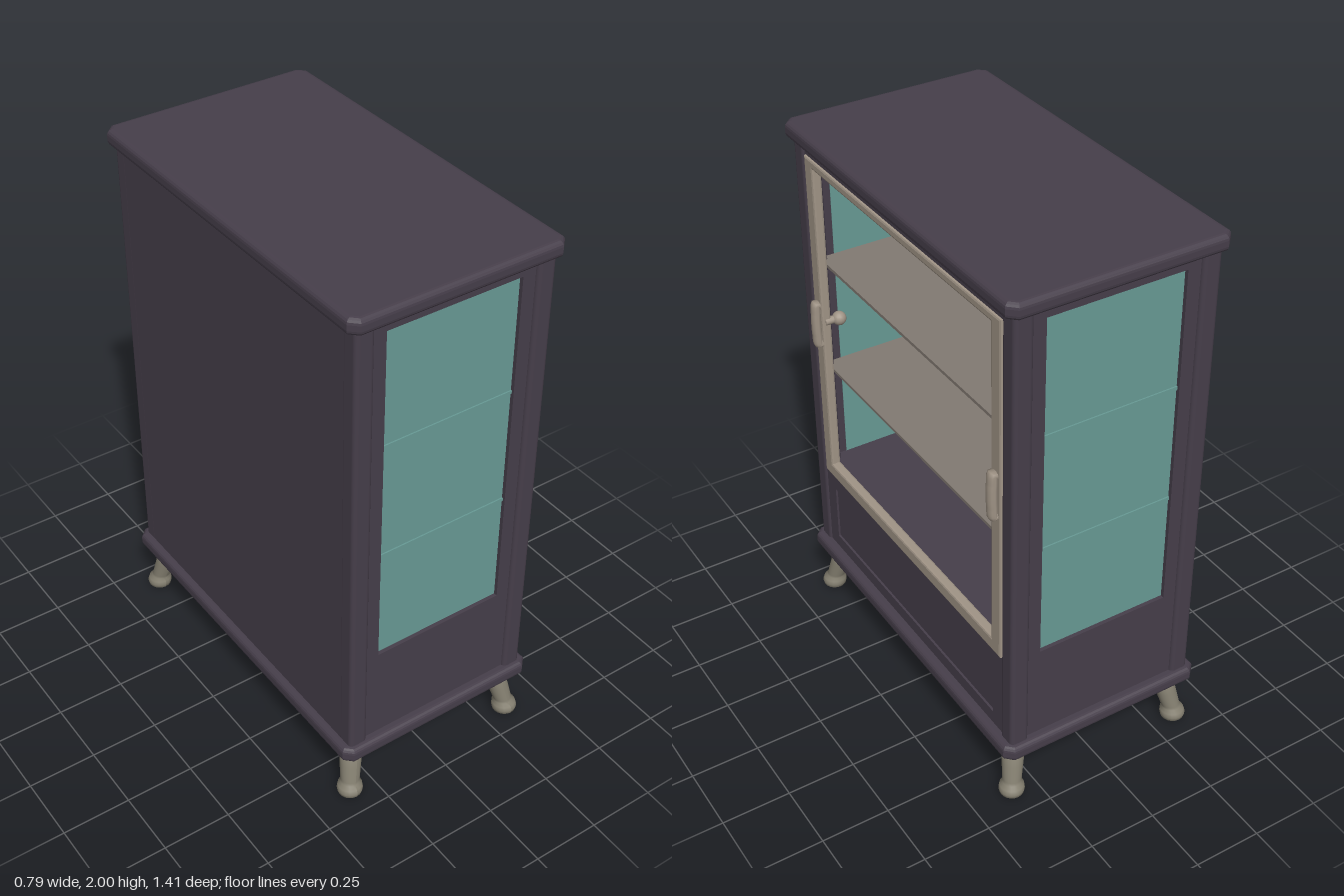
import * as THREE from 'three';
import { RoundedBoxGeometry } from 'three/addons/geometries/RoundedBoxGeometry.js';

const mat = (name, color) => {
  const m = new THREE.MeshStandardMaterial({ color });
  m.name = name;
  return m;
};

export function createModel() {
  const dark = mat('dark plum paint', 0x463e4a);
  const beige = mat('beige metal', 0xa09486);
  const legGrey = mat('warm grey legs', 0x858071);
  const shelfGrey = mat('shelf', 0x827a72);
  const teal = mat('teal glass', 0x689a95);

  const model = new THREE.Group();
  model.name = 'displayCabinet';

  const add = (name, geo, material, x = 0, y = 0, z = 0) => {
    const mesh = new THREE.Mesh(geo, material);
    mesh.name = name;
    mesh.position.set(x, y, z);
    model.add(mesh);
    return mesh;
  };
  const box = (name, material, w, h, d, x, y, z) =>
    add(name, new THREE.BoxGeometry(w, h, d), material, x, y, z);

  // Rectangle outline from half width and bottom / top heights
  const rect = (Type, hw, y0, y1) => {
    const p = new Type();
    p.moveTo(-hw, y0);
    p.lineTo(hw, y0);
    p.lineTo(hw, y1);
    p.lineTo(-hw, y1);
    p.closePath();
    return p;
  };
  // Flat frame with a rectangular opening, facing +z
  const frame = (hw, y0, y1, ihw, iy0, iy1, depth, bevel = 0) => {
    const s = rect(THREE.Shape, hw - bevel, y0 + bevel, y1 - bevel);
    s.holes.push(rect(THREE.Path, ihw + bevel, iy0 - bevel, iy1 + bevel));
    return new THREE.ExtrudeGeometry(s, {
      depth, bevelEnabled: bevel > 0, bevelSize: bevel, bevelThickness: bevel, bevelSegments: 2,
    });
  };

  // Top and bottom slabs: clipped corners and rounded edges
  const slab = (name, y) => {
    const b = 0.02, hx = 0.396 - b, hz = 0.705 - b, c = 0.018;
    const s = new THREE.Shape([
      [-hx + c, -hz], [hx - c, -hz], [hx, -hz + c], [hx, hz - c],
      [hx - c, hz], [-hx + c, hz], [-hx, hz - c], [-hx, -hz + c],
    ].map(([x, z]) => new THREE.Vector2(x, z)));
    const g = new THREE.ExtrudeGeometry(s, {
      depth: 0.02, bevelEnabled: true, bevelSize: b, bevelThickness: b, bevelSegments: 4,
    });
    g.rotateX(-Math.PI / 2);
    add(name, g, dark, 0, y + b, 0);
  };
  slab('topSlab', 1.94);
  slab('bottomSlab', 0.2);

  // Carcass: base with the inside floor, ceiling and back
  box('base', dark, 0.69, 0.37, 1.3, 0, 0.435, 0);
  box('ceiling', dark, 0.7, 0.02, 1.3, 0, 1.935, 0);
  box('backPanel', dark, 0.025, 1.7, 1.32, -0.355, 1.1, 0);
  box('backLining', teal, 0.008, 1.3, 1.28, -0.338, 1.27, 0);
  box('headRail', dark, 0.03, 0.05, 1.24, 0.345, 1.92, 0);

  // Corner posts
  for (const sx of [-1, 1]) for (const sz of [-1, 1]) {
    add('cornerPost', new RoundedBoxGeometry(0.07, 1.71, 0.07, 3, 0.016), dark,
      sx * 0.333, 1.1, sz * 0.647);
  }

  // Glazed end walls
  for (const s of [-1, 1]) {
    const wall = add('endWall', frame(0.31, 0.25, 1.95, 0.25, 0.62, 1.9, 0.02), dark, 0, 0, s * 0.648);
    if (s < 0) wall.rotation.y = Math.PI;
    box('endGlass', teal, 0.52, 1.3, 0.008, 0, 1.26, s * 0.65);
    for (const y of [1.04, 1.473]) box('glassRidge', teal, 0.5, 0.012, 0.006, 0, y, s * 0.656);
  }

  // Lower front panel with a grooved inset
  add('lowerPanelFrame', frame(0.62, 0.25, 0.605, 0.555, 0.31, 0.535, 0.018), dark, 0.342)
    .rotation.y = Math.PI / 2;
  box('lowerPanelInset', dark, 0.014, 0.213, 1.098, 0.348, 0.4225, 0);

  // Open door frame
  add('doorFrame', frame(0.61, 0.6, 1.9, 0.553, 0.655, 1.867, 0.02, 0.008), beige, 0.34)
    .rotation.y = Math.PI / 2;

  // Shelves
  for (const y of [1.04, 1.473]) box('shelf', shelfGrey, 0.65, 0.012, 1.28, -0.005, y, 0);

  // Handles with a small inner knob
  const grip = new THREE.CatmullRomCurve3([
    [0.355, 1.195], [0.374, 1.178], [0.379, 1.22], [0.38, 1.26], [0.379, 1.3], [0.374, 1.342], [0.355, 1.325],
  ].map(([x, y]) => new THREE.Vector3(x, y, 0)));
  for (const s of [-1, 1]) {
    add('handle', new THREE.TubeGeometry(grip, 32, 0.017, 10), beige, 0, 0, s * 0.578).scale.z = 1.3;
    const stem = add('handleStem', new THREE.CylinderGeometry(0.014, 0.014, 0.06, 12), beige, 0.325, 1.27, s * 0.56);
    stem.rotation.z = Math.PI / 2;
    add('handleKnob', new THREE.SphereGeometry(0.026, 14, 10), beige, 0.3, 1.27, s * 0.557);
  }

  // Ceiling rod with a centre knob and end bars
  add('ceilingRod', new THREE.CylinderGeometry(0.017, 0.017, 1.22, 12), beige, 0, 1.905, 0)
    .rotation.x = Math.PI / 2;
  add('ceilingKnob', new THREE.SphereGeometry(0.036, 16, 12), beige, 0, 1.905, 0.03);
  for (const s of [-1, 1]) {
    add('ceilingEndBar', new THREE.CylinderGeometry(0.017, 0.017, 0.66, 12), beige, 0, 1.895, s * 0.6)
      .rotation.z = Math.PI / 2;
  }

  // Splayed legs: lathe profile sheared outwards
  const profile = [
    [0, 0], [0.033, 0], [0.043, 0.008], [0.046, 0.022], [0.043, 0.037],
    [0.033, 0.048], [0.034, 0.06], [0.038, 0.12], [0.044, 0.22], [0, 0.22],
  ].map(([r, y]) => new THREE.Vector2(r, y));
  for (const sx of [-1, 1]) for (const sz of [-1, 1]) {
    const g = new THREE.LatheGeometry(profile, 20);
    const p = g.attributes.position;
    for (let i = 0; i < p.count; i++) {
      const t = Math.max(0, p.getY(i) - 0.03) / 0.17;
      p.setX(i, p.getX(i) + sx * (0.345 - 0.035 * t));
      p.setZ(i, p.getZ(i) + sz * (0.65 - 0.045 * t));
    }
    g.computeVertexNormals();
    add('leg', g, legGrey);
  }

  return model;
}
